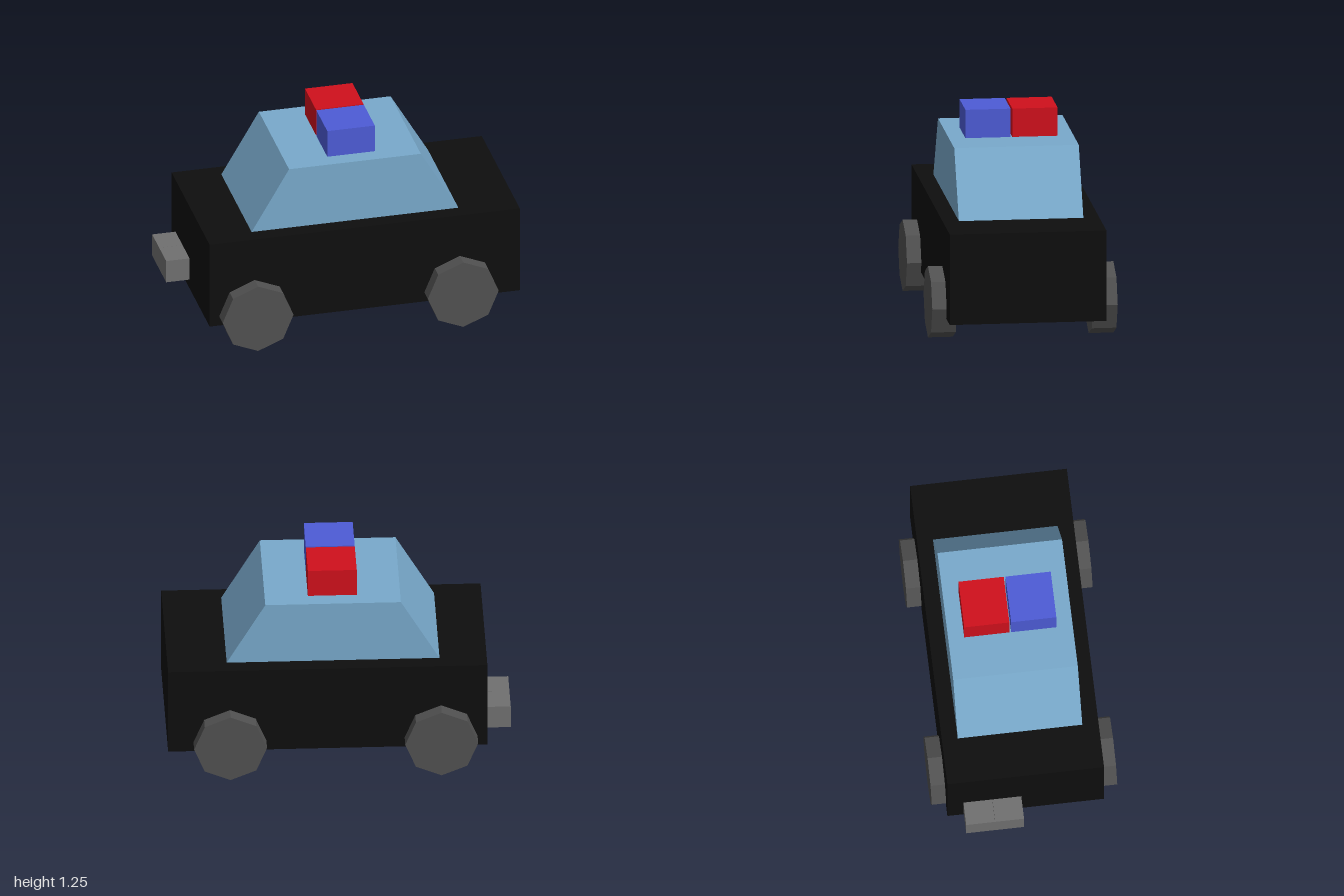
import * as THREE from 'three';

const paint = (color) => new THREE.MeshStandardMaterial({ color, flatShading: true });

export function createModel() {
  const car = new THREE.Group();
  car.name = 'policeCar';

  const black = paint(0x0e0e0e);
  const glass = paint(0x78a9cb);
  const rubber = paint(0x505050);
  const metal = paint(0x707070);
  const blue = paint(0x4d5bd6);
  const red = paint(0xd0101c);

  const add = (name, geometry, material) => {
    const mesh = new THREE.Mesh(geometry, material);
    mesh.name = name;
    car.add(mesh);
    return mesh;
  };

  // Box given by its extents on each axis
  const box = (name, [x0, x1], [y0, y1], [z0, z1], material) =>
    add(name, new THREE.BoxGeometry(x1 - x0, y1 - y0, z1 - z0), material)
      .position.set((x0 + x1) / 2, (y0 + y1) / 2, (z0 + z1) / 2);

  // Body
  box('body', [-0.86, 1], [0.152, 0.692], [-0.46, 0.458], black);

  // Cabin: trapezoid side profile extruded across the width
  const profile = new THREE.Shape([
    new THREE.Vector2(-0.585, 0.692),
    new THREE.Vector2(0.655, 0.692),
    new THREE.Vector2(0.43, 1.077),
    new THREE.Vector2(-0.36, 1.077),
  ]);
  const cabin = new THREE.ExtrudeGeometry(profile, { depth: 0.73, bevelEnabled: false });
  add('cabin', cabin.translate(0, 0, -0.367), glass);

  // Roof lights, with a narrow gap between them
  box('blueLight', [-0.107, 0.178], [1.077, 1.246], [0.002, 0.267], blue);
  box('redLight', [-0.107, 0.178], [1.077, 1.246], [-0.273, -0.008], red);

  // Twin exhaust pipes at the tail
  box('exhaustOuter', [-1, -0.86], [0.21, 0.35], [-0.366, -0.197], metal);
  box('exhaustInner', [-1, -0.86], [0.21, 0.35], [-0.196, -0.027], metal);

  // Eight-sided wheels
  const wheel = new THREE.CylinderGeometry(0.2125, 0.2125, 0.145, 8).rotateX(Math.PI / 2);
  for (const [end, x] of [['rear', -0.59], ['front', 0.64]]) {
    for (const [side, z] of [['Left', -0.472], ['Right', 0.47]]) {
      add(`${end}${side}Wheel`, wheel, rubber).position.set(x, 0.2125, z);
    }
  }

  return car;
}
